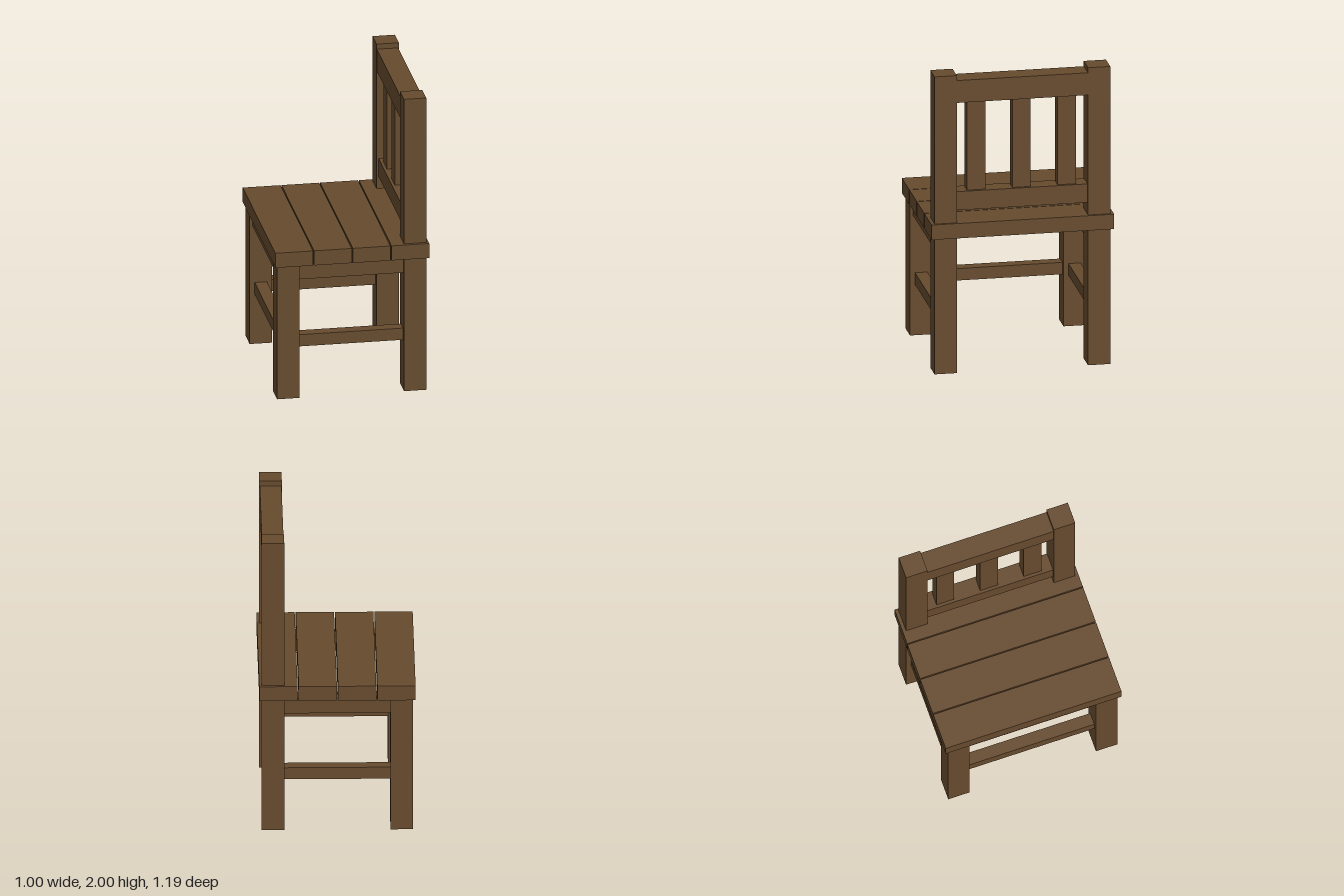
import * as THREE from 'three';

export function createModel() {
  const chair = new THREE.Group();
  chair.name = 'chair';
  const wood = new THREE.MeshStandardMaterial({ color: 0x664a2d });
  wood.name = 'brown wood';

  // box given by its extents on each axis
  function beam(name, [x0, x1], [y0, y1], [z0, z1]) {
    const mesh = new THREE.Mesh(new THREE.BoxGeometry(x1 - x0, y1 - y0, z1 - z0), wood);
    mesh.name = name;
    mesh.position.set((x0 + x1) / 2, (y0 + y1) / 2, (z0 + z1) / 2);
    chair.add(mesh);
  }
  const around = (c, width) => [c - width / 2, c + width / 2];

  const legX = 0.4125, legZ = 0.5, legW = 0.145;
  const innerX = [-0.34, 0.34], innerZ = [-0.4275, 0.4275];
  const seatBottom = 0.91, seatTop = 1.01;
  const apronY = [0.805, seatBottom], stretcherY = [0.34, 0.42];

  for (const s of [-1, 1]) {
    // legs and back posts
    beam('frontLeg', around(-legX, legW), [0, seatBottom], around(s * legZ, legW));
    beam('backLeg', around(legX, legW), [0, seatBottom], around(s * legZ, legW));
    beam('backPost', around(legX, legW), [seatTop, 2], around(s * legZ, legW));
    // side rails under the seat and between the legs
    beam('sideApron', innerX, apronY, around(s * legZ, 0.105));
    beam('sideStretcher', innerX, stretcherY, around(s * legZ, 0.08));
  }

  // cross rails between the legs on the open side of the seat
  beam('frontApron', around(-legX, 0.105), apronY, innerZ);
  beam('frontStretcher', around(-legX, 0.08), stretcherY, innerZ);

  // four seat planks
  for (let i = 0; i < 4; i++) {
    beam('seatPlank', around(-0.3775 + i * 0.2517, 0.245), [seatBottom, seatTop], [-0.595, 0.595]);
  }

  // backrest rails and slats
  beam('backTopRail', [0.342, 0.481], [1.815, 1.965], innerZ);
  beam('backLowerRail', around(legX, 0.118), [1.09, 1.215], innerZ);
  for (const z of [-0.295, 0, 0.295]) {
    beam('backSlat', around(legX, 0.08), [1.215, 1.815], around(z, 0.12));
  }
  return chair;
}
